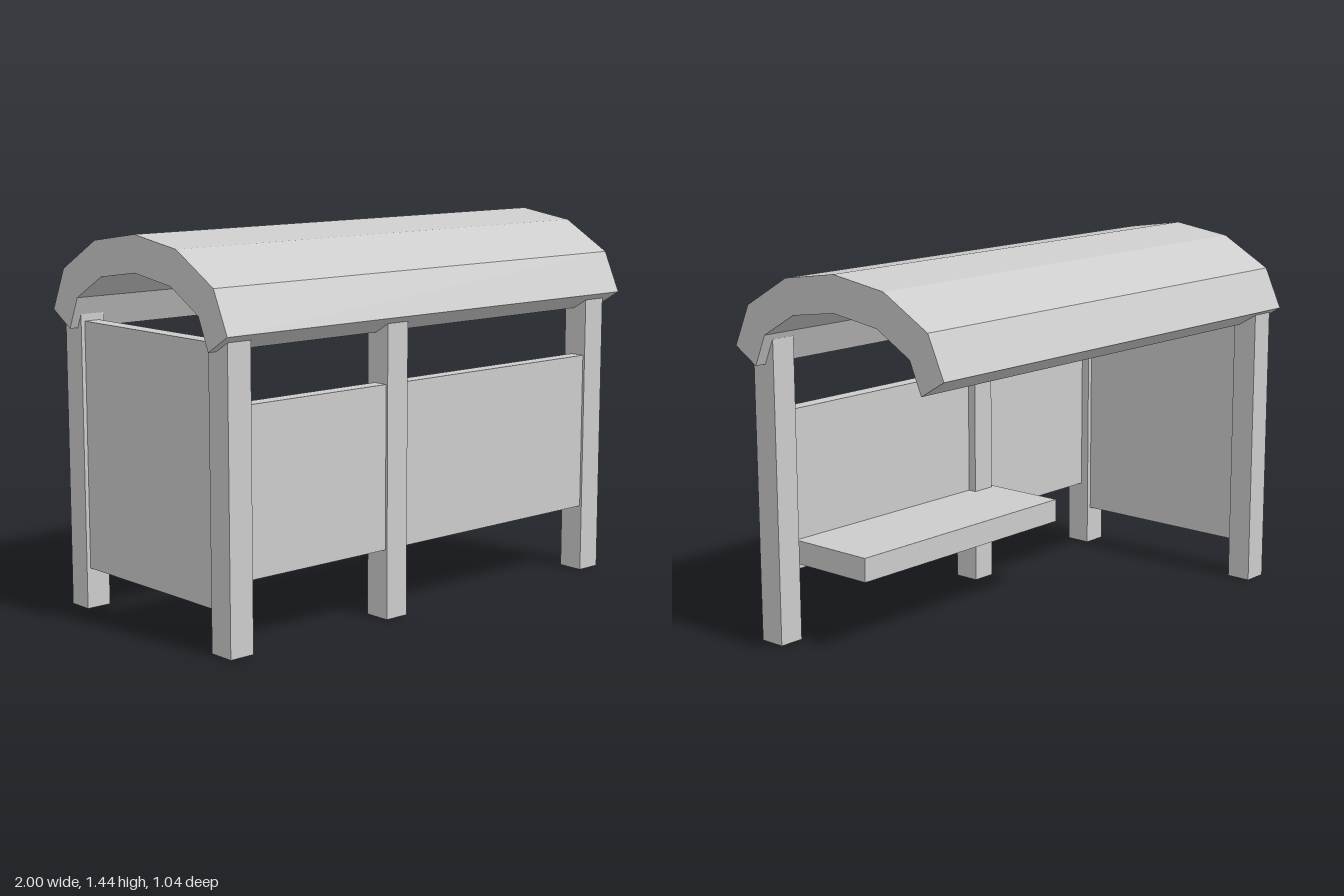
import * as THREE from 'three';

const material = new THREE.MeshStandardMaterial({ color: 0xcccccc, flatShading: true });

// Box given by its limits on each axis
function box(name, [x0, x1], [y0, y1], [z0, z1]) {
  const mesh = new THREE.Mesh(new THREE.BoxGeometry(x1 - x0, y1 - y0, z1 - z0), material);
  mesh.name = name;
  mesh.position.set((x0 + x1) / 2, (y0 + y1) / 2, (z0 + z1) / 2);
  return mesh;
}

// Arched roof: half profiles mirrored into a faceted band, extruded along x
function roof() {
  const outer = [[0.518, 1.132], [0.446, 1.289], [0.242, 1.406]];
  const inner = [[0.413, 1.069], [0.361, 1.188], [0.208, 1.276]];
  const arch = (half, crown) => [
    ...half, [0, crown], ...half.map(([z, y]) => [-z, y]).reverse(),
  ];
  const points = [...arch(outer, 1.442), ...arch(inner, 1.306).reverse()];
  const shape = new THREE.Shape(points.map(([z, y]) => new THREE.Vector2(z, y)));
  const geometry = new THREE.ExtrudeGeometry(shape, { depth: 2, bevelEnabled: false });
  geometry.translate(0, 0, -1).rotateY(Math.PI / 2);
  const mesh = new THREE.Mesh(geometry, material);
  mesh.name = 'archedRoof';
  return mesh;
}

export function createModel() {
  const group = new THREE.Group();
  group.name = 'shelter';
  group.add(roof());

  // Posts: three along the front, one at the right rear corner
  const postTop = 1.165;
  const frontPosts = [[-0.966, -0.865], [-0.228, -0.128], [0.853, 0.954]];
  for (const x of frontPosts) group.add(box('frontPost', x, [0, postTop], [0.37, 0.475]));
  group.add(box('rearPost', frontPosts[0], [0, postTop], [-0.49, -0.39]));

  // Panels between neighbouring front posts
  for (let i = 0; i < 2; i++) {
    const span = [frontPosts[i][1], frontPosts[i + 1][0]];
    group.add(box('frontPanel', span, [0.265, 0.883], [0.405, 0.466]));
  }

  // Tall end wall and the bench
  group.add(box('endPanel', [-0.95, -0.885], [0.155, 1.095], [-0.39, 0.37]));
  group.add(box('bench', [-0.25, 0.835], [0.288, 0.38], [0.04, 0.405]));

  return group;
}
